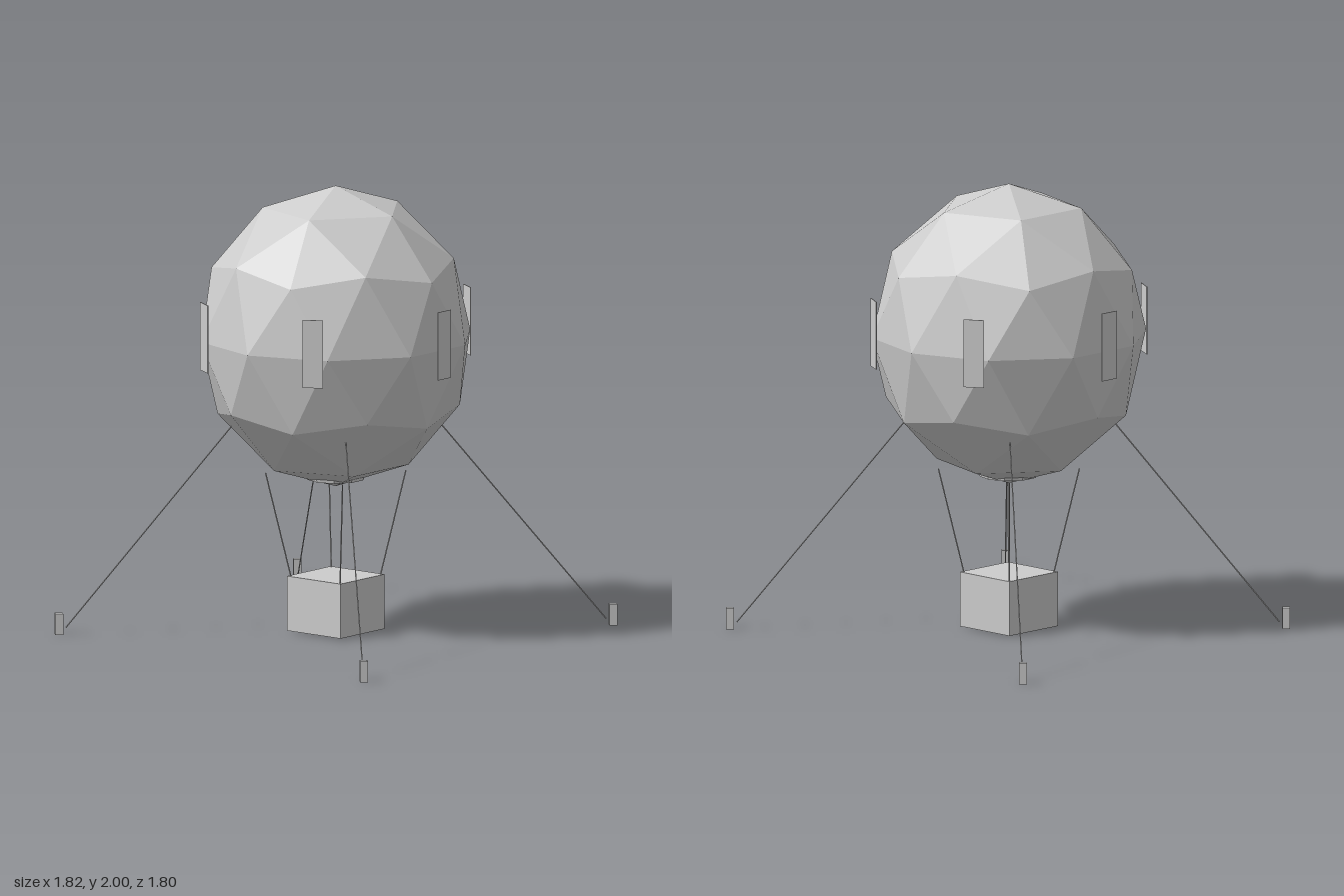
import * as THREE from 'three';

const CX = 0.015, CZ = 0.006; // axis of the balloon and basket

export function createModel() {
  const model = new THREE.Group();
  model.name = 'tetheredBalloon';
  const grey = new THREE.MeshStandardMaterial({ color: 0xcccccc, flatShading: true });
  grey.name = 'light grey';

  const add = (name, geometry, x = 0, y = 0, z = 0) => {
    const mesh = new THREE.Mesh(geometry, grey);
    mesh.name = name;
    mesh.position.set(x, y, z);
    model.add(mesh);
    return mesh;
  };

  // Thin straight rope between two points
  const rope = (name, from, to) => {
    const dir = to.clone().sub(from);
    const mid = from.clone().add(to).multiplyScalar(0.5);
    const mesh = add(name, new THREE.CylinderGeometry(0.003, 0.003, dir.length(), 6), mid.x, mid.y, mid.z);
    mesh.quaternion.setFromUnitVectors(new THREE.Vector3(0, 1, 0), dir.normalize());
  };

  // Faceted envelope with a vertex at each pole
  const ball = new THREE.IcosahedronGeometry(1, 1);
  ball.rotateZ(-Math.atan(2 / (1 + Math.sqrt(5))));
  ball.scale(0.614, 0.675, 0.614);
  ball.computeVertexNormals();
  add('envelope', ball, CX, 1.325, CZ);

  // Collar around the bottom of the envelope
  add('mouthCollar', new THREE.CylinderGeometry(0.135, 0.13, 0.025, 10), CX, 0.697, CZ);

  // Six upright panels standing around the equator
  for (let i = 0; i < 6; i++) {
    const a = (i * Math.PI) / 3;
    const panel = add('sidePanel', new THREE.BoxGeometry(0.004, 0.305, 0.092),
      CX + 0.62 * Math.cos(a), 1.357, CZ + 0.62 * Math.sin(a));
    panel.rotation.y = -a;
  }

  // Basket and its four suspension ropes
  add('basket', new THREE.BoxGeometry(0.306, 0.245, 0.306), CX, 0.1275, CZ);
  for (const sx of [-1, 1]) for (const sz of [-1, 1]) {
    rope('basketRope',
      new THREE.Vector3(CX + sx * 0.14, 0.245, CZ + sz * 0.14),
      new THREE.Vector3(CX + sx * 0.22, 0.715, CZ + sz * 0.22));
  }

  // Ground stakes, each holding a tether
  for (const [x, z] of [[-0.89, -0.829], [0.872, -0.88], [-0.876, 0.846], [0.885, 0.87]]) {
    const stake = add('groundStake', new THREE.BoxGeometry(0.035, 0.095, 0.035), x, 0.0475, z);
    stake.rotation.y = Math.PI / 4;
    rope('tether',
      new THREE.Vector3(CX + Math.sign(x) * 0.325, 0.93, CZ + Math.sign(z) * 0.325),
      new THREE.Vector3(x * 0.975, 0.03, z * 0.975));
  }
  return model;
}
